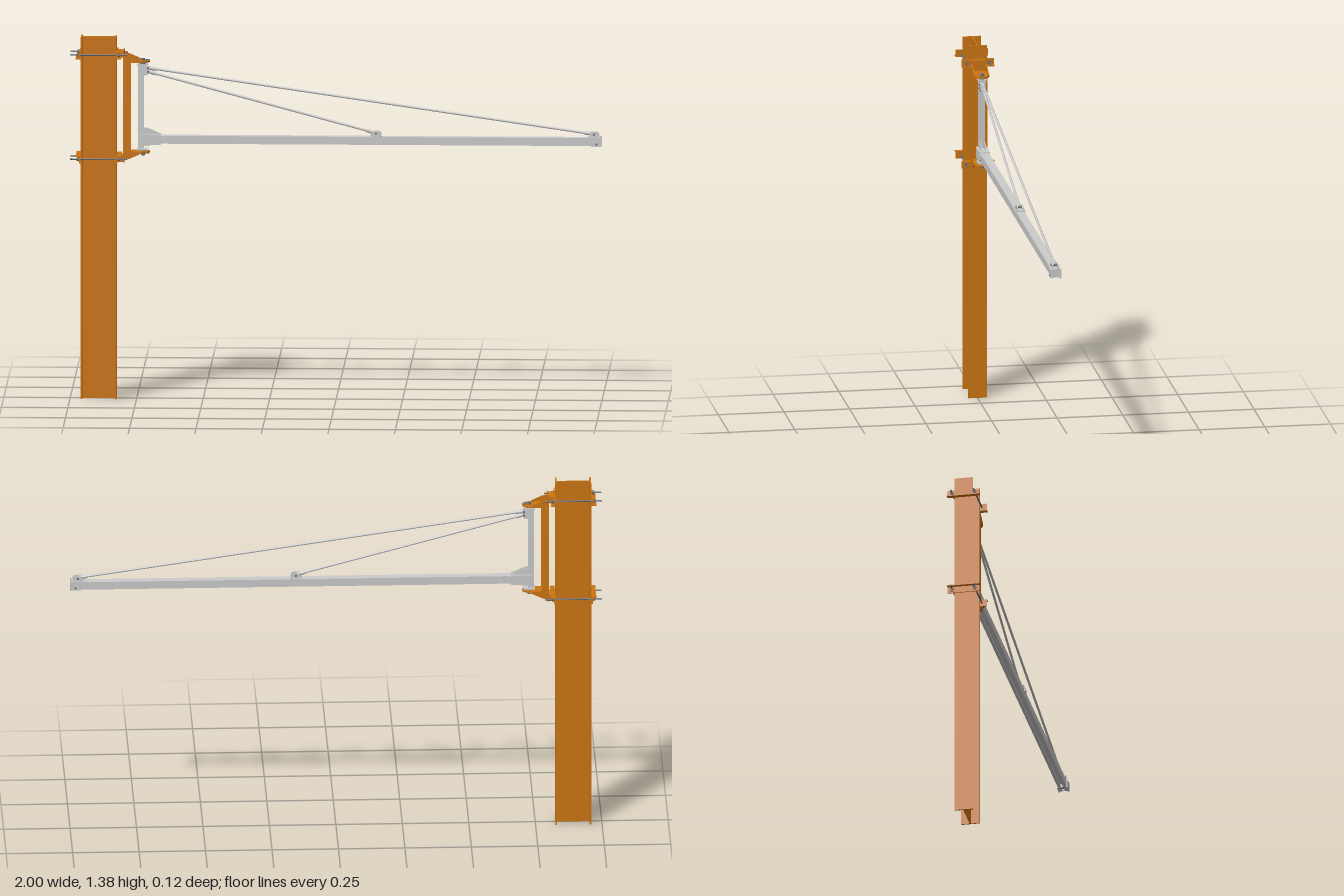
import * as THREE from 'three';

const orange = new THREE.MeshStandardMaterial({ color: 0xcc7512 });
const grey = new THREE.MeshStandardMaterial({ color: 0xcccccc });
const steel = new THREE.MeshStandardMaterial({ color: 0x6c7076 });

export function createModel() {
  const model = new THREE.Group();
  model.name = 'wallJibCrane';

  const add = (name, geo, mat, parent = model) => {
    const m = new THREE.Mesh(geo, mat);
    m.name = name;
    parent.add(m);
    return m;
  };
  // Box given by its limits on each axis
  const box = (name, [x0, x1], [y0, y1], [z0, z1], mat, parent) => {
    const m = add(name, new THREE.BoxGeometry(x1 - x0, y1 - y0, z1 - z0), mat, parent);
    m.position.set((x0 + x1) / 2, (y0 + y1) / 2, (z0 + z1) / 2);
    return m;
  };
  // Round bar between two points
  const bar = (name, a, b, r, mat, parent, sides = 12) => {
    const p = new THREE.Vector3(...a), q = new THREE.Vector3(...b);
    const d = q.clone().sub(p);
    const m = add(name, new THREE.CylinderGeometry(r, r, d.length(), sides), mat, parent);
    m.position.copy(p).add(q).multiplyScalar(0.5);
    m.quaternion.setFromUnitVectors(new THREE.Vector3(0, 1, 0), d.normalize());
    return m;
  };
  const shapeOf = (pts) => new THREE.Shape(pts.map(([x, y]) => new THREE.Vector2(x, y)));
  // Side plate: outline in x/y, centred on z
  const plate = (name, pts, z, t, mat, parent) => {
    const g = new THREE.ExtrudeGeometry(shapeOf(pts), { depth: t, bevelEnabled: false });
    return add(name, g.translate(0, 0, z - t / 2), mat, parent);
  };

  // I-section column
  const column = new THREE.Group();
  column.name = 'column';
  model.add(column);
  box('columnWeb', [-0.954, -0.831], [0, 1.375], [-0.0025, 0.0025], orange, column);
  box('columnBackFlange', [-0.96, -0.954], [0, 1.375], [-0.035, 0.035], orange, column);
  box('columnFrontFlange', [-0.831, -0.825], [0, 1.375], [-0.035, 0.035], orange, column);

  // Clamps: an angle bar on each flange, tied by threaded rods
  for (const [y, s] of [[1.31, 1], [0.914, -1]]) {
    const clamp = new THREE.Group();
    clamp.name = s > 0 ? 'upperClamp' : 'lowerClamp';
    model.add(clamp);
    for (const [x, dir] of [[-0.96, -1], [-0.825, 1]]) {
      const span = (a, b) => [Math.min(x + dir * a, x + dir * b), Math.max(x + dir * a, x + dir * b)];
      box('clampAngleLeg', span(0, 0.004), [y - 0.014, y + 0.014], [-0.062, 0.062], orange, clamp);
      const edge = y - s * 0.012;
      box('clampAngleFoot', span(0.004, 0.018), [edge - 0.002, edge + 0.002], [-0.062, 0.062], orange, clamp);
      for (const z of [-0.043, 0.043]) {
        box('clampWasher', span(0.004, 0.007), [y - 0.008, y + 0.008], [z - 0.009, z + 0.009], orange, clamp);
        bar('clampNut', [x + dir * 0.007, y, z], [x + dir * 0.014, y, z], 0.007, steel, clamp, 6);
      }
    }
    for (const z of [-0.043, 0.043])
      bar('clampRod', [-1, y, z], [-0.785, y, z], 0.003, steel, clamp);
  }

  // Mounting channel between the clamps
  const mount = new THREE.Group();
  mount.name = 'mountingBracket';
  model.add(mount);
  box('mountBack', [-0.8, -0.796], [0.9, 1.325], [-0.03, 0.03], orange, mount);
  for (const z of [-0.03, 0.026])
    box('mountSide', [-0.796, -0.772], [0.915, 1.305], [z, z + 0.004], orange, mount);
  for (const y of [0.914, 1.31])
    box('mountSpacer', [-0.825, -0.8], [y - 0.012, y + 0.012], [-0.028, 0.028], orange, mount);

  // Bearing arms with rounded nose, cheeks and pivot pin
  for (const [y, s] of [[1.282, 1], [0.938, -1]]) {
    const arm = new THREE.Group();
    arm.name = s > 0 ? 'upperBearingArm' : 'lowerBearingArm';
    arm.position.y = y;
    mount.add(arm);
    const nose = new THREE.Shape();
    nose.moveTo(-0.8, -0.03);
    nose.lineTo(-0.735, -0.03);
    nose.absarc(-0.727, 0, 0.026, -1.3, 1.3, false);
    nose.lineTo(-0.735, 0.03);
    nose.lineTo(-0.8, 0.03);
    const hole = new THREE.Path();
    hole.absarc(-0.727, 0, 0.008, 0, Math.PI * 2, true);
    nose.holes.push(hole);
    const g = new THREE.ExtrudeGeometry(nose, { depth: 0.006, bevelEnabled: false, curveSegments: 16 });
    add('bearingPlate', g.rotateX(-Math.PI / 2).translate(0, -0.003, 0), orange, arm);
    const cheek = [[-0.796, 0], [-0.735, 0], [-0.735, s * 0.006], [-0.775, s * 0.024], [-0.796, s * 0.03]];
    for (const z of [-0.027, 0.027]) plate('armCheek', cheek, z, 0.004, orange, arm);
    bar('pivotPin', [-0.727, -0.014, 0], [-0.727, 0.01, 0], 0.0075, steel, arm, 20);
    bar('pivotCollar', [-0.727, -s * 0.003, 0], [-0.727, -s * 0.009, 0], 0.014, steel, arm, 20);
    box('pinKeeper', [-0.722, -0.703], [s * 0.004 - 0.002, s * 0.004 + 0.002], [-0.007, 0.007], steel, arm);
  }

  // Swinging mast
  const jib = new THREE.Group();
  jib.name = 'jib';
  model.add(jib);
  box('mast', [-0.745, -0.723], [0.947, 1.273], [-0.011, 0.011], grey, jib);
  for (const y of [0.947, 1.27])
    box('mastEndPlate', [-0.748, -0.706], [y - 0.003, y + 0.003], [-0.017, 0.017], grey, jib);

  // Boom: hollow rail slotted along the bottom
  const rail = shapeOf([
    [-0.016, 0.97], [-0.005, 0.97], [-0.005, 0.973], [-0.013, 0.973], [-0.013, 0.997], [0.013, 0.997],
    [0.013, 0.973], [0.005, 0.973], [0.005, 0.97], [0.016, 0.97], [0.016, 1], [-0.016, 1],
  ]);
  const railGeo = new THREE.ExtrudeGeometry(rail, { depth: 1.71, bevelEnabled: false });
  add('boomRail', railGeo.rotateY(Math.PI / 2).translate(-0.72, 0, 0), grey, jib);

  // Boom root sleeve with gussets
  for (const z of [-0.018, 0.018])
    plate('rootCheek', [[-0.742, 0.966], [-0.66, 0.966], [-0.645, 0.98], [-0.645, 0.995], [-0.665, 1.003], [-0.742, 1.003]], z, 0.004, grey, jib);
  box('rootCap', [-0.742, -0.66], [1, 1.004], [-0.02, 0.02], grey, jib);
  box('rootSole', [-0.742, -0.7], [0.962, 0.966], [-0.02, 0.02], grey, jib);
  for (const z of [-0.009, 0.009])
    plate('rootGusset', [[-0.725, 1.003], [-0.655, 1.003], [-0.712, 1.028], [-0.725, 1.028]], z, 0.003, grey, jib);

  // Mast head lugs
  for (const z of [-0.009, 0.009])
    plate('headLug', [[-0.725, 1.228], [-0.712, 1.228], [-0.7, 1.238], [-0.7, 1.26], [-0.725, 1.264]], z, 0.004, grey, jib);

  // Tie rods with forked ends and lugs on the boom
  for (const [name, x, top] of [['shortTie', 0.15, 1.242], ['longTie', 0.97, 1.256]]) {
    const tie = new THREE.Group();
    tie.name = name;
    jib.add(tie);
    const a = new THREE.Vector3(-0.707, top, 0), b = new THREE.Vector3(x, 1.013, 0);
    const at = (t) => a.clone().lerp(b, t / a.distanceTo(b)).toArray();
    const len = a.distanceTo(b);
    bar('tieRod', at(0), at(len), 0.0045, grey, tie);
    bar('upperSocket', at(0), at(0.03), 0.007, grey, tie);
    bar('lowerSocket', at(len - 0.035), at(len), 0.007, grey, tie);
    for (const p of [a, b])
      bar('tiePin', [p.x, p.y, -0.015], [p.x, p.y, 0.015], 0.004, steel, tie);
    box('boomSaddle', [x - 0.02, x + 0.022], [1, 1.004], [-0.019, 0.019], grey, tie);
    for (const z of [-0.01, 0.01])
      plate('boomLug', [[x - 0.022, 1.003], [x + 0.02, 1.003], [x + 0.02, 1.014], [x + 0.012, 1.021], [x - 0.012, 1.021]], z, 0.004, grey, tie);
    for (const z of [-0.0175, 0.0175])
      box('saddleCheek', [x - 0.015, x + 0.018], [0.99, 1.004], [z - 0.002, z + 0.002], grey, tie);
  }

  // End stop at the boom tip
  for (const z of [-0.018, 0.018])
    box('tipCheek', [0.96, 1], [0.968, 1.003], [z - 0.002, z + 0.002], grey, jib);
  box('tipPlate', [0.99, 0.995], [0.97, 1.003], [-0.016, 0.016], grey, jib);
  bar('tipBolt', [0.98, 0.977, -0.022], [0.98, 0.977, 0.022], 0.004, steel, jib);

  return model;
}
